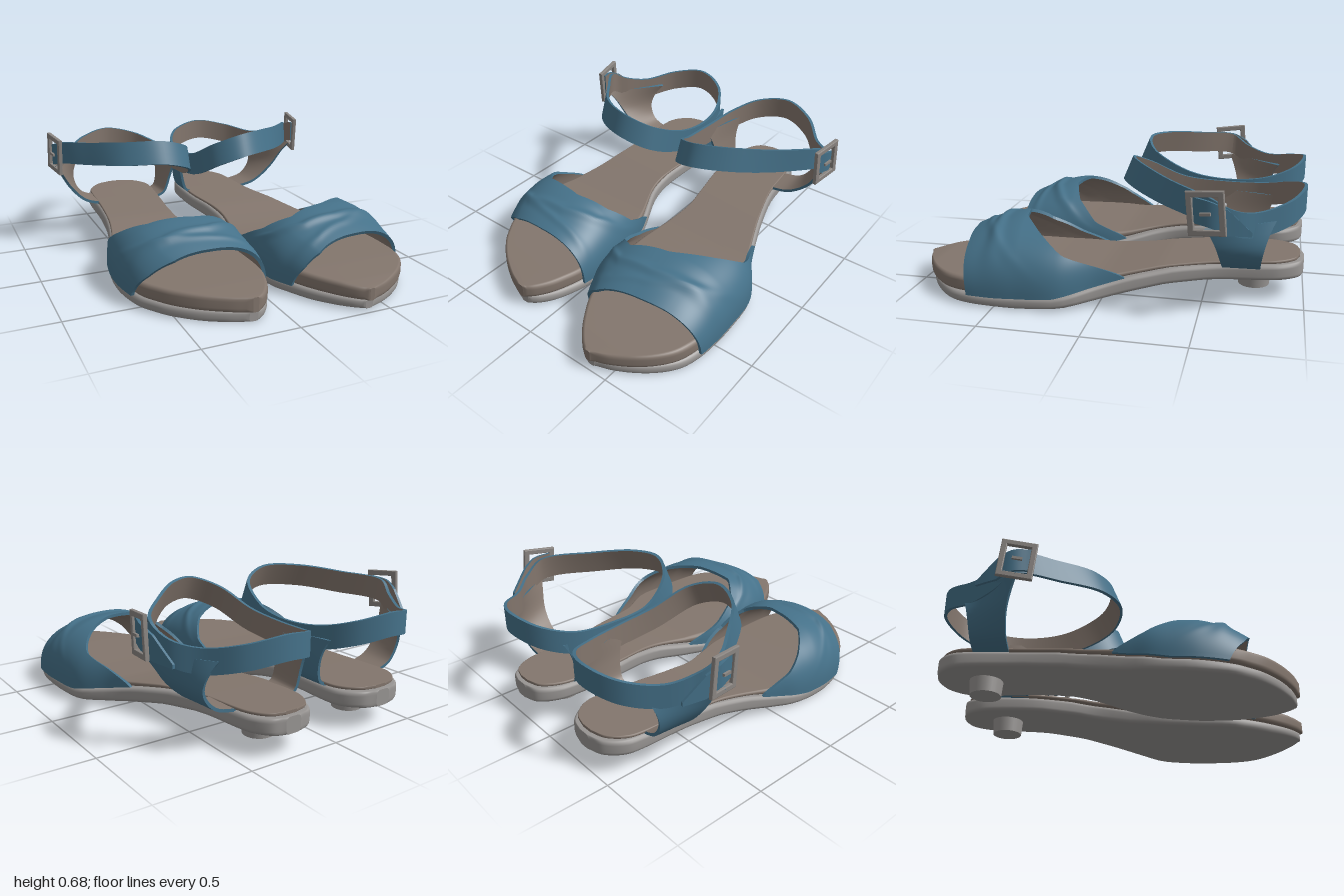
import * as THREE from 'three';

const mat = (name, color) => Object.assign(new THREE.MeshStandardMaterial({ color }), { name });
const blue = mat('blueLeather', 0x457189);
const taupe = mat('taupeLining', 0x83766d);
const grey = mat('greySole', 0x989593);
const metal = mat('buckleMetal', 0x8a8581);

// Piecewise-linear lookup in [[key, value], ...] with rising keys
function ramp(table, k) {
  let i = 1;
  while (i < table.length - 1 && k > table[i][0]) i++;
  const [a, va] = table[i - 1], [b, vb] = table[i];
  return va + (vb - va) * THREE.MathUtils.clamp((k - a) / (b - a), 0, 1);
}

function mesh(name, geometry, material) {
  const m = new THREE.Mesh(geometry, material);
  m.name = name;
  return m;
}

// Side profile heights along z
const outBottom = [[-1, .115], [-.7, .11], [-.5, .105], [-.3, .09], [-.13, .06], [0, .035], [.2, .01], [.4, 0], [.8, 0], [1, .012]];
const outTop = [[-1, .2], [-.6, .187], [-.35, .175], [-.13, .14], [0, .11], [.2, .07], [.5, .058], [1, .056]];
const inTop = [[-1, .22], [-.6, .207], [-.3, .19], [-.13, .165], [0, .148], [.3, .138], [.7, .142], [.9, .136], [1, .125]];

// Outline rows [z, xMin, xMax] to a curve carrying (xMin, xMax, z)
const outlineCurve = rows => new THREE.CatmullRomCurve3(
  rows.map(([z, a, b]) => new THREE.Vector3(a, b, z)), false, 'catmullrom', 0.5);

// Slab lofted from rounded cross-sections along the foot
function slab(curve, bottom, top, pad, shift, gap) {
  const N = 90, C = 4, R = C * 4, pos = [], idx = [];
  for (let i = 0; i <= N; i++) {
    const p = curve.getPoint((1 - Math.cos(Math.PI * i / N)) / 2);
    const y0 = ramp(bottom, p.z) + gap, y1 = ramp(top, p.z);
    const cx = (p.x + p.y) / 2, w = (p.y - p.x) / 2 + pad, h = (y1 - y0) / 2;
    const r = Math.min(h * 0.8, w * 0.5, 0.022);
    for (let j = 0; j < R; j++) {
      const q = Math.floor(j / C), a = Math.PI / 2 * (q + (j % C) / (C - 1));
      const sx = q === 0 || q === 3 ? 1 : -1, sy = q < 2 ? 1 : -1;
      pos.push(cx + sx * (w - r) + r * Math.cos(a), (y0 + y1) / 2 + sy * (h - r) + r * Math.sin(a), p.z + shift);
    }
  }
  for (let i = 0; i < N; i++) for (let j = 0; j < R; j++) {
    const k = (j + 1) % R, a = i * R + j, b = i * R + k;
    idx.push(a, b, a + R, b, b + R, a + R);
  }
  for (let j = 1; j < R - 1; j++) idx.push(0, j + 1, j, N * R, N * R + j, N * R + j + 1);
  const g = new THREE.BufferGeometry();
  g.setAttribute('position', new THREE.Float32BufferAttribute(pos, 3));
  g.setIndex(idx);
  g.computeVertexNormals();
  return g;
}

// Leather sheet from f(u, v): blue face, taupe lining and a blue rim
function leather(name, f, nu, nv, t) {
  const outer = [], inner = [], pos = [], idx = [], e = 1e-3;
  for (let j = 0; j <= nv; j++) for (let i = 0; i <= nu; i++) {
    const u = i / nu, v = j / nv, p = f(u, v);
    const du = f(Math.min(u + e, 1), v).sub(f(Math.max(u - e, 0), v));
    const dv = f(u, Math.min(v + e, 1)).sub(f(u, Math.max(v - e, 0)));
    outer.push(p);
    inner.push(p.clone().addScaledVector(du.cross(dv).normalize(), -t));
  }
  const W = nu + 1, M = outer.length;
  [...outer, ...inner].forEach(p => pos.push(p.x, p.y, p.z));
  for (let s = 0; s < 2; s++) for (let j = 0; j < nv; j++) for (let i = 0; i < nu; i++) {
    const a = s * M + j * W + i, b = a + 1, d = a + W, c = d + 1;
    if (s) idx.push(a, d, b, b, d, c); else idx.push(a, b, d, b, c, d);
  }
  const face = nu * nv * 6;
  const ring = [];
  for (let i = 0; i < nu; i++) ring.push(i);
  for (let j = 0; j < nv; j++) ring.push(j * W + nu);
  for (let i = nu; i > 0; i--) ring.push(nv * W + i);
  for (let j = nv; j > 0; j--) ring.push(j * W);
  ring.forEach((a, k) => {
    const b = ring[(k + 1) % ring.length], n = pos.length / 3;
    for (const p of [outer[a], outer[b], inner[a], inner[b]]) pos.push(p.x, p.y, p.z);
    idx.push(n, n + 2, n + 1, n + 1, n + 2, n + 3);
  });
  const g = new THREE.BufferGeometry();
  g.setAttribute('position', new THREE.Float32BufferAttribute(pos, 3));
  g.setIndex(idx);
  g.computeVertexNormals();
  g.addGroup(0, face, 0);
  g.addGroup(face, face, 1);
  g.addGroup(face * 2, idx.length - face * 2, 0);
  return mesh(name, g, [blue, taupe]);
}

function sandal(o) {
  const g = new THREE.Group(), k = o.side;
  g.name = o.name;
  const curve = outlineCurve(o.outline), samples = curve.getPoints(300);
  const xMin = samples.map(p => [p.z, p.x]), xMax = samples.map(p => [p.z, p.y]);

  // Soles and low heel
  g.add(mesh('outsole', slab(curve, outBottom, outTop, .008, -.02, 0), grey));
  g.add(mesh('insole', slab(curve, outTop, inTop, 0, 0, .004), taupe));
  const heel = mesh('heel', new THREE.CylinderGeometry(.088, .08, .1, 32), grey);
  heel.position.set(o.heelX, .08, -.745);
  g.add(heel);

  // Gathered toe band, arched across the sole
  const pw = (x, e) => Math.sign(x) * Math.abs(x) ** e;
  g.add(leather('toeBand', (s, v) => {
    const zf = ramp(o.front, s), zb = ramp(o.back, s), z = zf + (zb - zf) * v, a = Math.PI * s;
    const x0 = ramp(xMin, z) - .022, x1 = ramp(xMax, z) + .022, base = ramp(outTop, z);
    const lift = Math.sin(a) ** .8, d = Math.min((zf - z) / .28, 1);
    const across = k * (s - .5);
    const fold = .016 * Math.exp(-(((v - .5 + .7 * across) / .09) ** 2))
      + .008 * Math.exp(-(((v - .3 - .5 * across) / .07) ** 2));
    const top = .385 - .09 * (1 - d) ** 1.5 - .01 * v;
    return new THREE.Vector3((x0 + x1) / 2 - (x1 - x0) / 2 * pw(Math.cos(a), .85),
      base + (top - base + fold) * lift, z);
  }, 72, 36, .018));

  // Ankle strap loop, leaning inward at the front
  const loop = new THREE.CatmullRomCurve3(o.strap.map(p => new THREE.Vector3(...p)), true);
  g.add(leather('ankleStrap', (u, v) => {
    const p = loop.getPoint(u), h = v - .5;
    p.z -= .05 * h * THREE.MathUtils.clamp((p.z + .6) / .4, 0, 1);
    p.y += .122 * h;
    return p;
  }, 120, 4, .016));

  // Side tabs joining the sole to the strap
  const tab = (name, dir, points, slope) => {
    const path = new THREE.CatmullRomCurve3(points.map(([x, y]) => new THREE.Vector3(x, y, 0)));
    g.add(leather(name, (u, v) => {
      const p = path.getPoint(v), dz = -dir * (u - .5) * (.18 + .13 * v ** 4);
      return new THREE.Vector3(p.x + dir * slope * dz * v * v, p.y, -.69 + dz);
    }, 14, 18, .016));
  };
  tab('outerTab', k, o.outerTab, .7);
  tab('innerTab', -k, o.innerTab, .2);

  // Loose strap end behind the buckle
  const tail = new THREE.CatmullRomCurve3([[.765, .56, -.47], [.787, .545, -.56], [.765, .5, -.65], [.735, .45, -.74]]
    .map(([x, y, z]) => new THREE.Vector3(k * x, y, z)));
  g.add(leather('strapEnd', (u, v) => {
    const t = k > 0 ? u : 1 - u, p = tail.getPoint(t);
    p.y += (v - .5) * (t > .6 ? .12 - (t - .6) * .25 : .12);
    return p;
  }, 20, 4, .014));

  // Buckle frame and prong
  const frame = new THREE.Shape([[-.085, -.1], [.085, -.1], [.085, .1], [-.085, .1]].map(p => new THREE.Vector2(...p)));
  frame.holes.push(new THREE.Path([[-.064, -.08], [-.064, .08], [.064, .08], [.064, -.08]].map(p => new THREE.Vector2(...p))));
  const buckle = new THREE.Group();
  buckle.name = 'buckle';
  buckle.add(mesh('buckleFrame', new THREE.ExtrudeGeometry(frame,
    { depth: .014, bevelSize: .004, bevelThickness: .004, bevelSegments: 2 }), metal));
  const prong = mesh('prong', new THREE.BoxGeometry(.05, .014, .012), metal);
  prong.position.set(0, 0, .022);
  buckle.add(prong);
  buckle.position.set(k * .772, .552, -.535);
  buckle.rotation.set(0, k * 1.4, k * .1);
  g.add(buckle);
  return g;
}

export function createModel() {
  const model = new THREE.Group();
  model.name = 'sandals';
  model.add(sandal({
    name: 'rightSandal', side: -1, heelX: -.32,
    outline: [[-.972, -.35, -.28], [-.945, -.43, -.2], [-.87, -.495, -.137], [-.77, -.515, -.12], [-.55, -.52, -.135],
      [-.34, -.535, -.15], [-.18, -.56, -.135], [0, -.61, -.06], [.13, -.65, -.015], [.32, -.66, .005], [.5, -.625, .008],
      [.6, -.57, 0], [.68, -.51, -.02], [.77, -.41, -.055], [.84, -.3, -.1], [.873, -.225, -.135], [.885, -.19, -.16]],
    front: [[0, .48], [.15, .56], [.3, .605], [.5, .615], [1, .61]],
    back: [[0, -.08], [.12, .08], [.22, .18], [.36, .3], [.55, .345], [.72, .29], [.88, .18], [1, 0]],
    strap: [[-.755, .55, -.545], [-.63, .58, -.34], [-.47, .607, -.15], [-.27, .613, -.07], [-.11, .56, -.13],
      [-.042, .47, -.34], [-.03, .44, -.58], [-.077, .45, -.78], [-.18, .49, -.93], [-.35, .52, -.99],
      [-.525, .49, -.925], [-.645, .46, -.77], [-.71, .49, -.655]],
    outerTab: [[-.48, .18], [-.6, .225], [-.67, .33], [-.685, .47]],
    innerTab: [[-.15, .18], [-.085, .215], [-.055, .32], [-.048, .45]],
  }));
  model.add(sandal({
    name: 'leftSandal', side: 1, heelX: .265,
    outline: [[-.972, .225, .295], [-.945, .15, .365], [-.87, .1, .415], [-.77, .08, .437], [-.55, .08, .46],
      [-.34, .113, .52], [-.18, .13, .578], [0, .105, .655], [.18, .075, .765], [.4, .075, .785], [.56, .09, .782],
      [.66, .13, .77], [.75, .172, .74], [.83, .22, .68], [.9, .27, .6], [.96, .325, .5], [.99, .365, .42], [.997, .38, .405]],
    front: [[0, .69], [.12, .735], [.26, .755], [.4, .73], [.65, .68], [1, .635]],
    back: [[0, .02], [.1, .24], [.2, .385], [.34, .475], [.5, .425], [.65, .3], [.8, .16], [1, -.13]],
    strap: [[.003, .46, -.32], [.075, .55, -.14], [.21, .607, -.068], [.36, .613, -.12], [.56, .585, -.3],
      [.735, .55, -.54], [.71, .49, -.66], [.615, .46, -.77], [.48, .49, -.92], [.3, .52, -.985],
      [.12, .49, -.925], [.025, .45, -.78], [0, .44, -.57]],
    outerTab: [[.4, .18], [.55, .215], [.65, .32], [.675, .47]],
    innerTab: [[.12, .18], [.06, .21], [.03, .32], [.016, .45]],
  }));
  return model;
}
